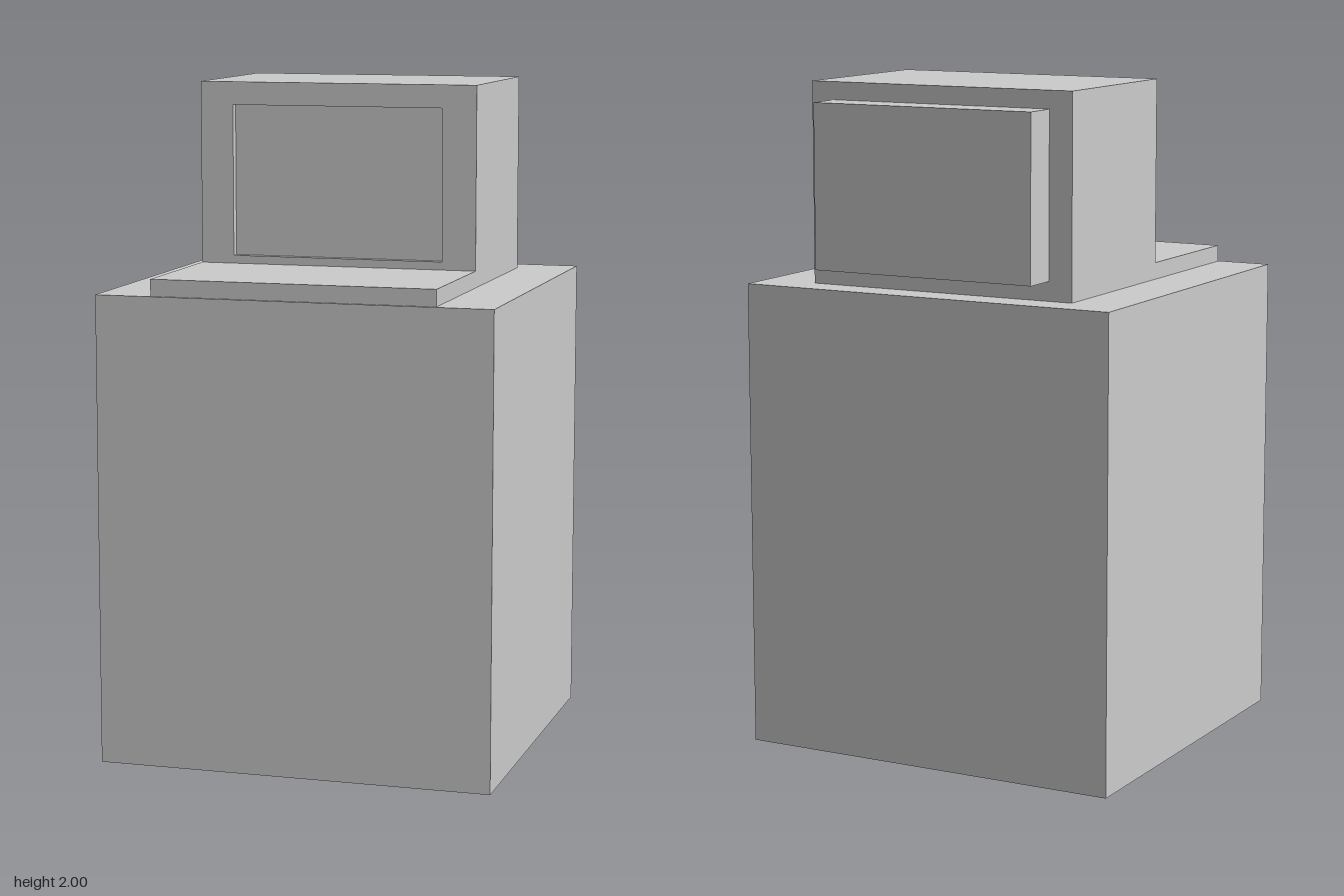
import * as THREE from 'three';

export function createModel() {
  const model = new THREE.Group();
  const grey = new THREE.MeshStandardMaterial({ color: 0xcccccc });
  grey.name = 'light grey';

  // Box given by its minimum and maximum corners
  const addBox = (name, [x0, y0, z0], [x1, y1, z1]) => {
    const mesh = new THREE.Mesh(new THREE.BoxGeometry(x1 - x0, y1 - y0, z1 - z0), grey);
    mesh.name = name;
    mesh.position.set((x0 + x1) / 2, (y0 + y1) / 2, (z0 + z1) / 2);
    model.add(mesh);
  };

  const rectangle = (PathType, x0, y0, x1, y1) => new PathType([
    new THREE.Vector2(x0, y0), new THREE.Vector2(x1, y0),
    new THREE.Vector2(x1, y1), new THREE.Vector2(x0, y1),
  ]);

  const baseTop = 1.403, headFront = 0.096, recess = 0.025;

  // Large pedestal, keyboard ledge, monitor body and rear housing
  addBox('pedestal', [-0.595, 0, -0.555], [0.595, baseTop, 0.562]);
  addBox('keyboardLedge', [-0.428, baseTop, headFront], [0.426, 1.453, 0.553]);
  addBox('monitorBody', [-0.428, baseTop, -0.452], [0.426, 2, headFront - recess]);
  addBox('rearHousing', [-0.355, 1.46, -0.563], [0.353, 1.947, -0.452]);

  // Bezel around the recessed screen
  const outline = rectangle(THREE.Shape, -0.428, baseTop, 0.426, 2);
  outline.holes.push(rectangle(THREE.Path, -0.327, 1.477, 0.323, 1.931));
  const bezel = new THREE.Mesh(
    new THREE.ExtrudeGeometry(outline, { depth: recess, bevelEnabled: false }), grey);
  bezel.name = 'screenBezel';
  bezel.position.z = headFront - recess;
  model.add(bezel);

  return model;
}
